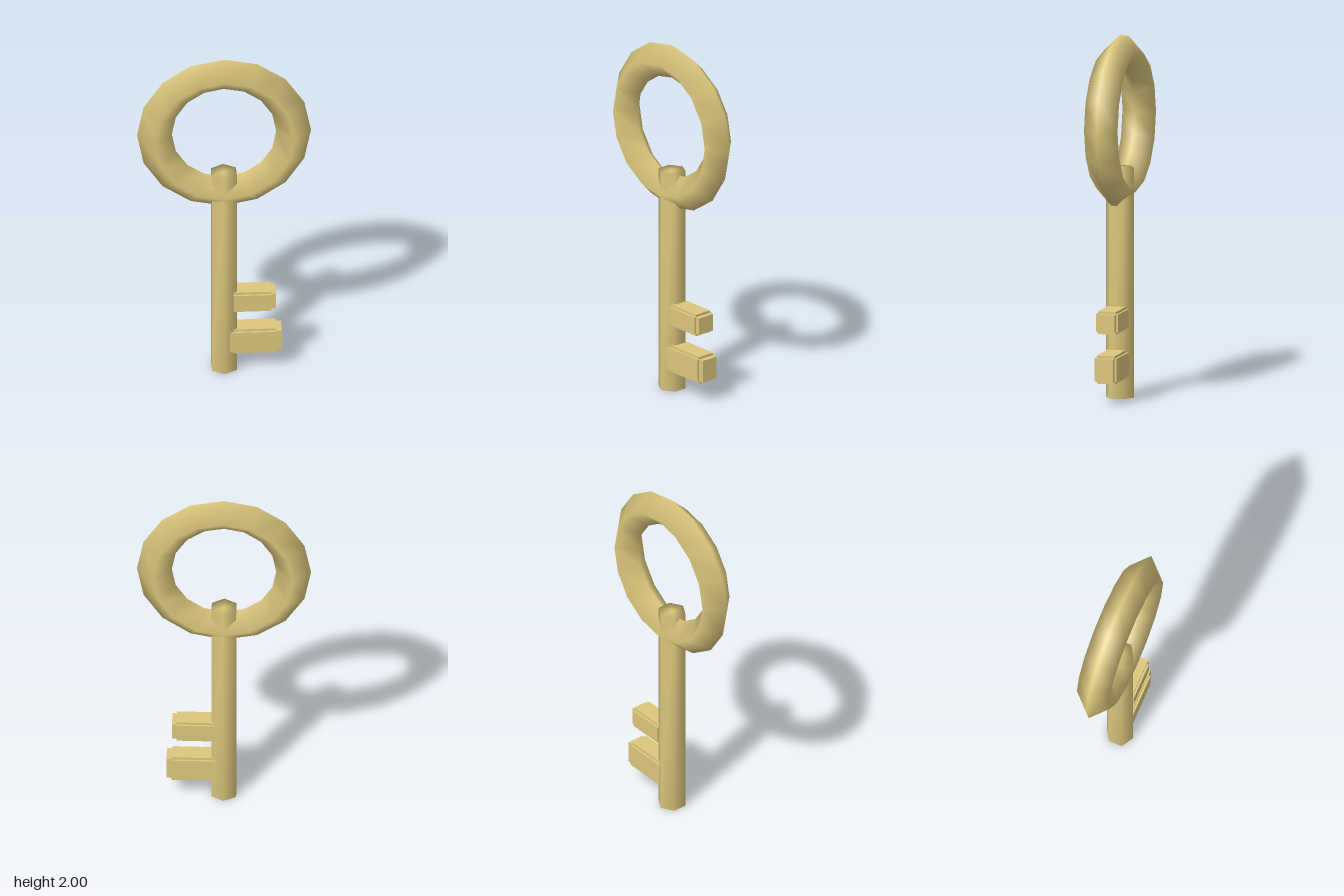
import * as THREE from 'three';
import { mergeVertices } from 'three/addons/utils/BufferGeometryUtils.js';

export function createModel() {
  const key = new THREE.Group();
  key.name = 'key';
  const brass = new THREE.MeshStandardMaterial({ color: 0xdcc77d });
  brass.name = 'brass';

  const add = (parent, name, geometry, x, y, z) => {
    const mesh = new THREE.Mesh(geometry, brass);
    mesh.name = name;
    mesh.position.set(x, y, z);
    parent.add(mesh);
    return mesh;
  };

  // Ring handle: diamond cross-section with smooth normals
  add(key, 'ringHandle', new THREE.TorusGeometry(0.38, 0.095, 4, 16), 0, 1.525, 0);

  // Hexagonal shaft, shaded softly over its ends
  let shaft = new THREE.CylinderGeometry(0.078, 0.078, 1.27, 6);
  shaft.deleteAttribute('uv');
  shaft.deleteAttribute('normal');
  shaft = mergeVertices(shaft);
  shaft.computeVertexNormals();
  add(key, 'shaft', shaft, 0, 0.635, 0);

  // Teeth: three crossed boxes, each longer along one axis, give stepped edges
  const addTooth = (name, x0, x1, y0, y1, stepX) => {
    const tooth = new THREE.Group();
    tooth.name = name;
    const w = x1 - x0, h = y1 - y0, d = 0.124, stepY = 0.014, stepZ = 0.012;
    const sizes = {
      toothCore: [w, h - 2 * stepY, d - 2 * stepZ],
      toothRidge: [w - 2 * stepX, h, d - 2 * stepZ],
      toothFaces: [w - 2 * stepX, h - 2 * stepY, d],
    };
    for (const [part, size] of Object.entries(sizes)) {
      add(tooth, part, new THREE.BoxGeometry(...size), 0, 0, 0);
    }
    tooth.position.set((x0 + x1) / 2, (y0 + y1) / 2, 0);
    key.add(tooth);
  };
  addTooth('upperTooth', 0.025, 0.282, 0.385, 0.51, 0.025);
  addTooth('lowerTooth', 0.0, 0.313, 0.115, 0.27, 0.03);

  return key;
}
